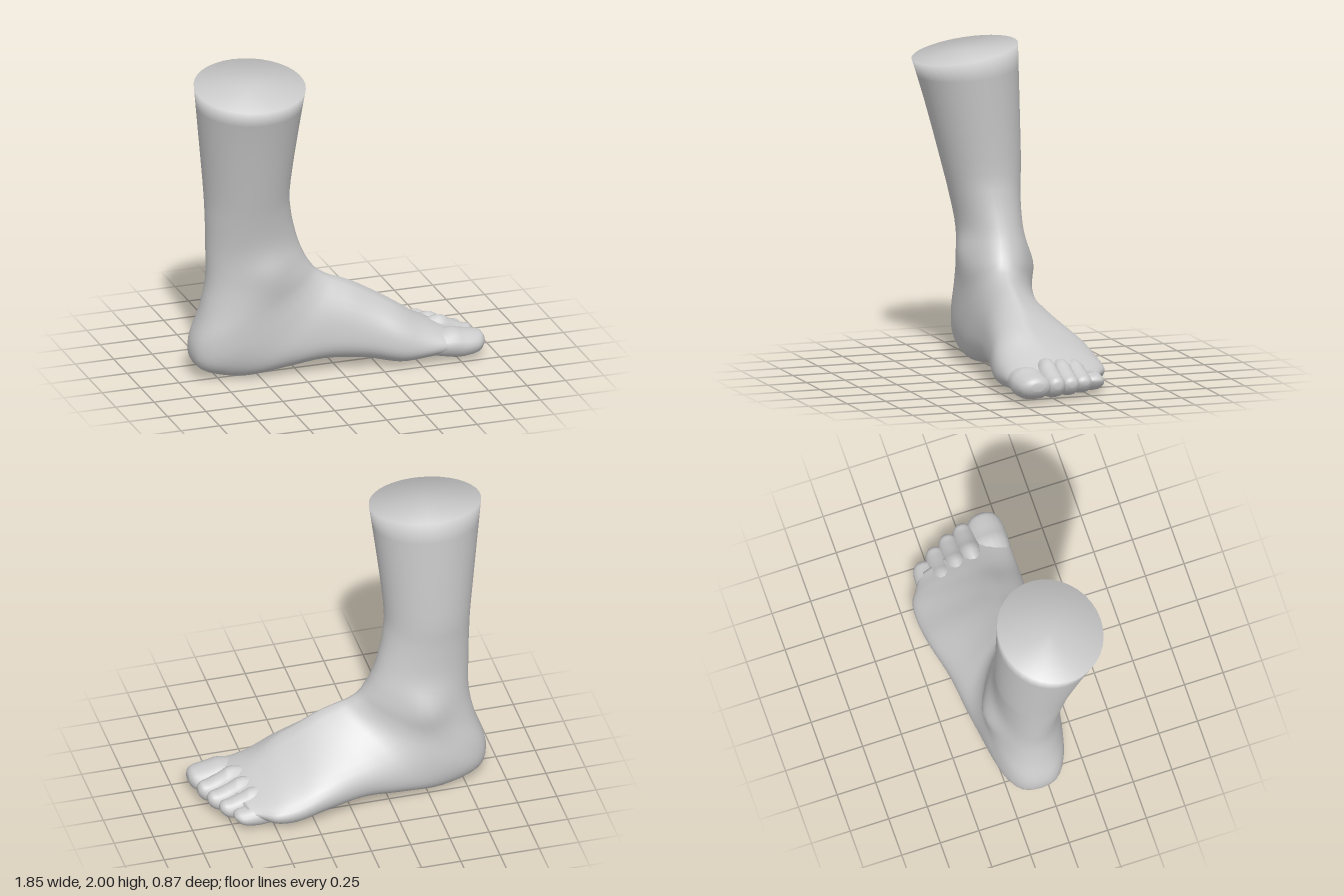
import * as THREE from 'three';

const { smoothstep } = THREE.MathUtils;
const material = new THREE.MeshStandardMaterial({ color: 0xcccccc });

// Lofts closed rings. Each station spans from a top/front point P to a
// bottom/back point Q: [px, py, qx, qy, zMin, zMax, skew, ridge, squareness]
function loft(stations, segments, steps, warp = () => {}) {
  const rows = [];
  const n = stations.length - 1;
  for (let i = 0; i < n * steps + 1; i++) {
    const k = Math.min(Math.floor(i / steps), n - 1);
    const f = i / steps - k;
    const at = (j) => stations[Math.max(0, Math.min(n, j))];
    rows.push(at(k).map((b, c) => {
      const a = at(k - 1)[c], d = at(k + 1)[c], e = at(k + 2)[c];
      return b + 0.5 * f * (d - a + f * (2 * a - 5 * b + 4 * d - e + f * (3 * (b - d) + e - a)));
    }));
  }

  const positions = [], index = [];
  const p = new THREE.Vector3();
  const push = () => { warp(p); positions.push(p.x, p.y, p.z); };
  for (const [px, py, qx, qy, z0, z1, skew, ridge, square] of rows) {
    for (let j = 0; j < segments; j++) {
      const a = (j / segments) * Math.PI * 2;
      const c = Math.cos(a), s = Math.sin(a);
      const t = Math.pow((1 - c) / 2, skew);
      const side = Math.sign(s) * Math.pow(Math.abs(s), c < 0 ? square : 1);
      p.set(px + (qx - px) * t, py + (qy - py) * t,
        (z0 + z1) / 2 + side * (z1 - z0) / 2 + (c > 0 ? ridge * c * c : 0));
      push();
    }
  }
  for (let i = 0; i < rows.length - 1; i++) {
    for (let j = 0; j < segments; j++) {
      const a = i * segments + j, b = i * segments + (j + 1) % segments;
      index.push(a, b, a + segments, b, b + segments, a + segments);
    }
  }
  // End caps
  for (const r of [0, rows.length - 1]) {
    const [px, py, qx, qy, z0, z1] = rows[r];
    p.set((px + qx) / 2, (py + qy) / 2, (z0 + z1) / 2);
    push();
    const centre = positions.length / 3 - 1;
    for (let j = 0; j < segments; j++) {
      const a = r * segments + j, b = r * segments + (j + 1) % segments;
      if (r === 0) index.push(centre, b, a);
      else index.push(centre, a, b);
    }
  }
  const geometry = new THREE.BufferGeometry();
  geometry.setAttribute('position', new THREE.Float32BufferAttribute(positions, 3));
  geometry.setIndex(index);
  geometry.computeVertexNormals();
  return geometry;
}

// Shin, swinging round the heel into the instep and the ball of the foot:
// [px, py, qx, qy, zMin, zMax]
const legOutline = [
  [-0.23, 1.95, -0.925, 1.95, -0.22, 0.43],
  [-0.29, 1.3, -0.84, 1.3, -0.238, 0.26],
  [-0.28, 1.08, -0.82, 1.05, -0.228, 0.2],
  [-0.235, 0.89, -0.81, 0.82, -0.23, 0.16],
  [-0.19, 0.77, -0.81, 0.62, -0.25, 0.16],
  [-0.15, 0.695, -0.85, 0.42, -0.265, 0.165],
  [-0.115, 0.65, -0.91, 0.22, -0.28, 0.165],
  [-0.075, 0.622, -0.86, 0.07, -0.3, 0.165],
  [-0.03, 0.6, -0.62, 0.003, -0.32, 0.165],
  [0.04, 0.575, -0.35, 0.03, -0.35, 0.175],
  [0.13, 0.535, -0.1, 0.063, -0.375, 0.19],
  [0.25, 0.465, 0.16, 0.045, -0.42, 0.22],
  [0.38, 0.385, 0.37, 0.005, -0.438, 0.26],
  [0.52, 0.285, 0.52, 0.015, -0.425, 0.265],
  [0.66, 0.212, 0.66, 0.04, -0.385, 0.26],
  [0.76, 0.165, 0.76, 0.07, -0.33, 0.23],
];

// Round shin sections turn into flat-soled, ridged foot sections
const legStations = legOutline.map((outline, i) => {
  const foot = smoothstep(i, 4, 11), end = smoothstep(i, 12, 15);
  return [...outline, 1 - 0.42 * foot + 0.3 * end,
    0.14 * smoothstep(i, 2, 12) * (1 - 0.8 * end),
    1 - 0.43 * smoothstep(i, 3, 9) + 0.1 * end];
});

const bump = (p, x, y, r) => Math.exp(-((p.x - x) ** 2 + (p.y - y) ** 2) / (r * r));

function shapeLeg(p) {
  // Sloping cut at the top of the shin
  const top = Math.max(0, (p.y - 1.4) / 0.55);
  p.y -= 0.17 * (p.z - 0.1) * top * top;
  // Ankle bones
  if (p.z < -0.1) p.z -= 0.045 * bump(p, -0.5, 0.62, 0.13);
  if (p.z > 0.05) p.z += 0.025 * bump(p, -0.45, 0.7, 0.13);
  // The line of the toe roots slants back towards the little toe
  p.x += 0.24 * (p.z - 0.1) * smoothstep(p.x, 0.45, 0.75);
}

// Toes: name, tip x, centre z, half width, knuckle height, nail height
const toes = [
  ['bigToe', 0.92, 0.155, 0.115, 0.2, 0.172],
  ['secondToe', 0.895, 0.015, 0.072, 0.24, 0.165],
  ['middleToe', 0.86, -0.09, 0.07, 0.225, 0.155],
  ['fourthToe', 0.81, -0.19, 0.07, 0.208, 0.145],
  ['littleToe', 0.745, -0.285, 0.078, 0.165, 0.13],
];

function toeGeometry(tip, z, w, knuckle, nail) {
  const ring = (f, top, bottom, s) => {
    const x = tip - 0.4 * (1 - f);
    return [x, top, x, bottom, z - w * s, z + w * s, 1, 0, 0.85];
  };
  return loft([
    ring(0, knuckle * 0.8, 0.06, 0.8),
    ring(0.45, knuckle, 0.02, 0.98),
    ring(0.65, (knuckle + nail) / 2, 0.015, 1),
    ring(0.85, nail, 0.028, 0.92),
    ring(0.95, nail * 0.94, 0.052, 0.68),
    ring(1, nail * 0.78, 0.085, 0.32),
  ], 16, 3);
}

export function createModel() {
  const group = new THREE.Group();
  const add = (name, geometry) => {
    const mesh = new THREE.Mesh(geometry, material);
    mesh.name = name;
    group.add(mesh);
  };
  add('legAndFoot', loft(legStations, 36, 4, shapeLeg));
  for (const [name, ...size] of toes) add(name, toeGeometry(...size));
  return group;
}
